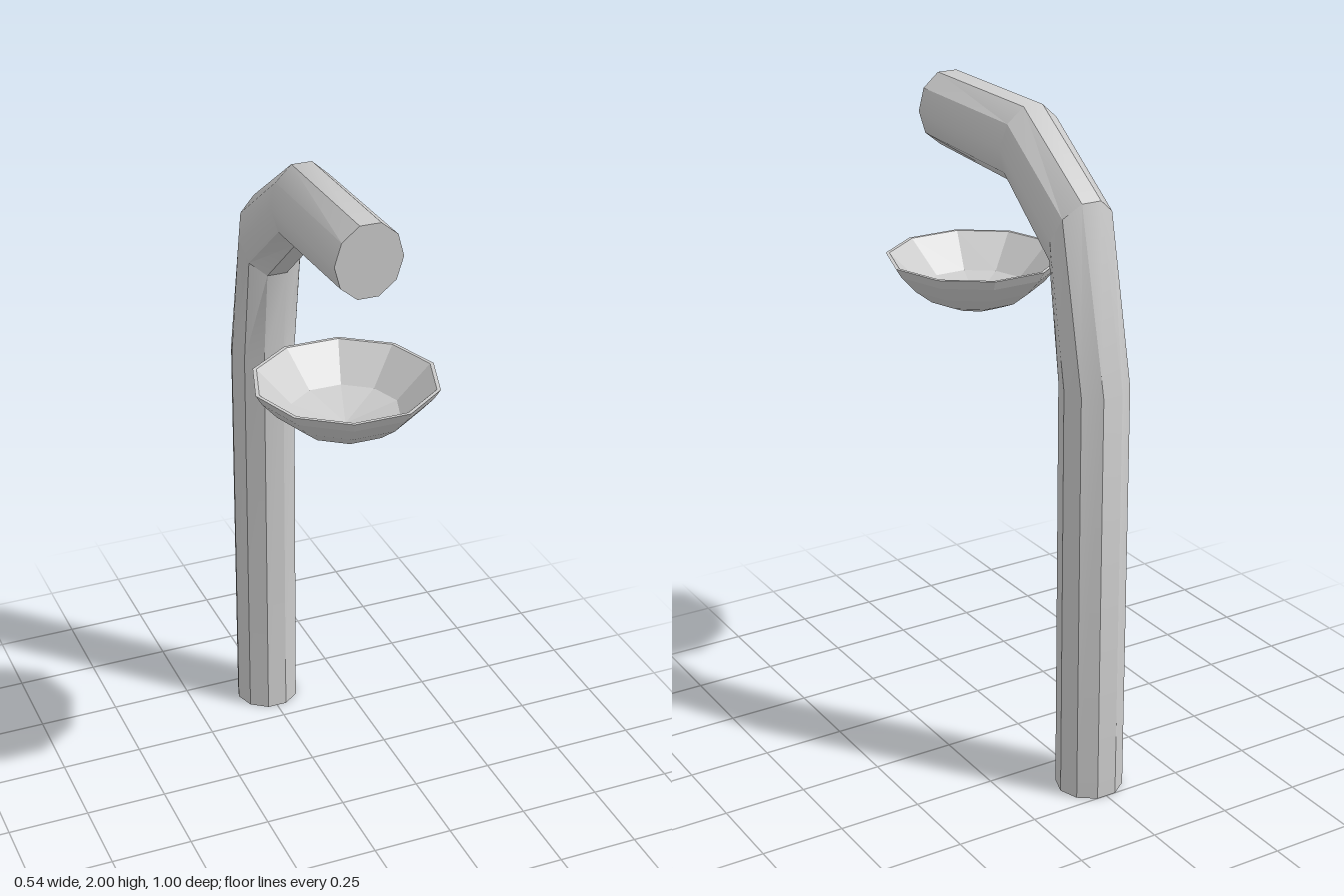
import * as THREE from 'three';
import { toCreasedNormals } from 'three/addons/utils/BufferGeometryUtils.js';

const SIDES = 10;

// Ten-sided tube whose mitred sections are given as [outer z, outer y, inner z, inner y]
function bentTube(sections, radius) {
  const pos = [], index = [];
  const reach = Math.sin(Math.PI * 0.4); // highest vertex of the ten-sided ring
  for (const [oz, oy, iz, iy] of sections) {
    for (let i = 0; i < SIDES; i++) {
      const a = (i / SIDES) * Math.PI * 2, s = Math.sin(a) / reach / 2;
      pos.push(radius * Math.cos(a), (oy + iy) / 2 + (oy - iy) * s, (oz + iz) / 2 + (oz - iz) * s);
    }
  }
  const last = (sections.length - 1) * SIDES;
  for (let r = 0; r < last; r += SIDES) {
    for (let i = 0; i < SIDES; i++) {
      const a = r + i, b = r + (i + 1) % SIDES;
      index.push(a, b, b + SIDES, a, b + SIDES, a + SIDES);
    }
  }
  // End caps
  for (let i = 1; i < SIDES - 1; i++) {
    index.push(0, i + 1, i, last, last + i, last + i + 1);
  }
  const geo = new THREE.BufferGeometry();
  geo.setAttribute('position', new THREE.Float32BufferAttribute(pos, 3));
  geo.setIndex(index);
  return toCreasedNormals(geo, 0.6);
}

export function createModel() {
  const group = new THREE.Group();
  const add = (name, geo, mat) => {
    const mesh = new THREE.Mesh(geo, mat);
    mesh.name = name;
    group.add(mesh);
    return mesh;
  };

  // Upright post bending forward into the spout
  const sections = [
    [-0.5, 0, -0.31, 0],
    [-0.5, 1.265, -0.31, 1.28],
    [-0.38, 1.79, -0.275, 1.575],
    [-0.08, 1.995, -0.05, 1.765],
    [0.4, 2.0, 0.39, 1.785],
  ];
  add('bentPost', bentTube(sections, 0.1), new THREE.MeshStandardMaterial({ color: 0xcccccc }));

  // Shallow bowl with a thin rim, floating under the spout
  const profile = [
    [0, 1.315], [0.085, 1.325], [0.15, 1.352], [0.205, 1.395], [0.25, 1.445], [0.268, 1.475],
    [0.257, 1.475], [0.157, 1.378], [0, 1.337],
  ].map(([r, y]) => new THREE.Vector2(r, y));
  const bowl = add('bowl', new THREE.LatheGeometry(profile, SIDES, Math.PI / 2),
    new THREE.MeshStandardMaterial({ color: 0xcccccc, flatShading: true }));
  bowl.position.z = 0.245;

  return group;
}
